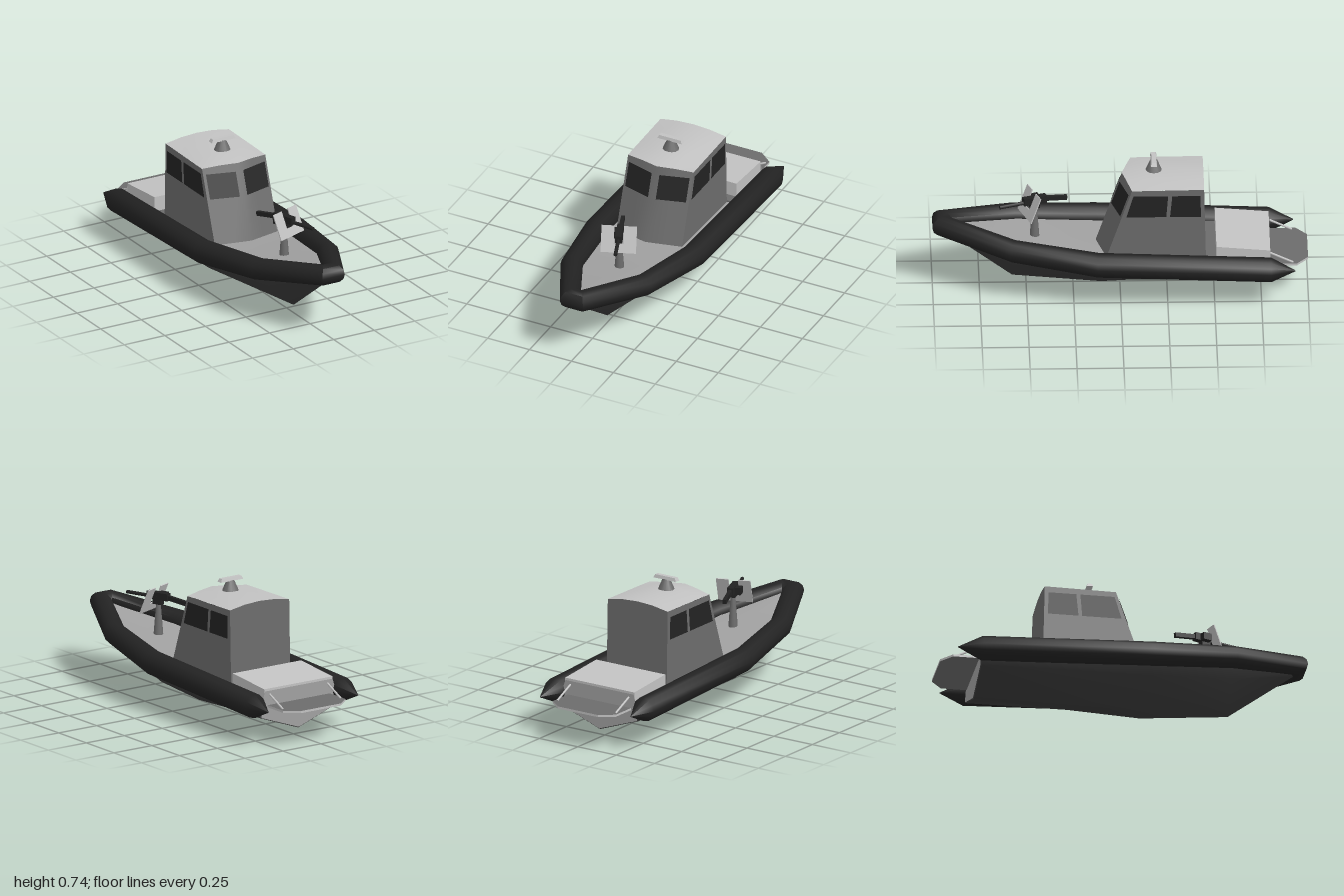
import * as THREE from 'three';
import { toCreasedNormals } from 'three/addons/utils/BufferGeometryUtils.js';

const paint = (name, color, extra = {}) => {
  const m = new THREE.MeshStandardMaterial({ color, ...extra });
  m.name = name;
  return m;
};

export function createModel() {
  const boat = new THREE.Group();
  boat.name = 'patrolBoat';

  const black = paint('tubeBlack', 0x222222);
  const hullGrey = paint('hullGrey', 0x3a3a3a);
  const cabinGrey = paint('cabinGrey', 0x6c6c6c);
  const lightGrey = paint('lightGrey', 0xc2c2c2);
  const deckGrey = paint('deckGrey', 0xa0a0a0, { side: THREE.DoubleSide });
  const glass = paint('darkGlass', 0x232323, { side: THREE.DoubleSide });

  const add = (name, geo, mat, parent = boat, pos = [0, 0, 0]) => {
    const mesh = new THREE.Mesh(geo, mat);
    mesh.name = name;
    mesh.position.set(...pos);
    parent.add(mesh);
    return mesh;
  };

  // Skin through rows of points; closed rows form a ring, optionally capped
  const loft = (rows, { closed = true, caps = false, crease = 0.6 } = {}) => {
    const n = rows[0].length, idx = [];
    for (let r = 0; r < rows.length - 1; r++) {
      for (let i = 0; i < (closed ? n : n - 1); i++) {
        const a = r * n + i, b = r * n + (i + 1) % n;
        idx.push(a, b, b + n, a, b + n, a + n);
      }
    }
    if (caps) {
      const e = (rows.length - 1) * n;
      for (let i = 1; i < n - 1; i++) idx.push(0, i + 1, i, e, e + i, e + i + 1);
    }
    const g = new THREE.BufferGeometry();
    g.setAttribute('position', new THREE.Float32BufferAttribute(rows.flat(2), 3));
    g.setIndex(idx);
    g.computeVertexNormals();
    return toCreasedNormals(g, crease);
  };

  // V hull: z, keel y, chine x/y, top x/y
  const hullSections = [
    [-0.795, 0.05, 0.25, 0.14, 0.265, 0.2],
    [0.1, 0.005, 0.25, 0.145, 0.285, 0.22],
    [0.575, 0.05, 0.16, 0.2, 0.2, 0.28],
    [0.93, 0.315, 0.025, 0.33, 0.03, 0.35],
  ];
  add('hull', loft(hullSections.map(([z, k, cx, cy, tx, ty]) =>
    [[0, k, z], [cx, cy, z], [tx, ty, z], [-tx, ty, z], [-cx, cy, z]]), { caps: true, crease: 0.9 }), hullGrey);

  // Inflated collar: x, y, z, radius, outward direction x/z
  const half = [
    [0.295, 0.21, -0.93, 0.002, 1, 0],
    [0.29, 0.215, -0.8, 0.066, 1, 0],
    [0.29, 0.253, 0.12, 0.066, 1, 0.08],
    [0.215, 0.303, 0.57, 0.06, 0.96, 0.31],
    [0.034, 0.366, 0.945, 0.055, 0.62, 1],
  ];
  const mirrored = half.map(([x, y, z, r, nx, nz]) => [-x, y, z, r, -nx, nz]).reverse();
  const SIDES = 12;
  add('collarTube', loft([...half, ...mirrored].map(([x, y, z, r, nx, nz]) =>
    Array.from({ length: SIDES }, (_, i) => {
      const a = i / SIDES * Math.PI * 2, c = Math.cos(a) * r;
      return [x + nx * c, y + Math.sin(a) * r, z + nz * c];
    })), { caps: true, crease: 0.8 }), black);

  // Deck inside the collar
  const deckRow = ([w, y, z]) => [[-w, y, z], [0, y + 0.004, z], [w, y, z]];
  add('deck', loft([[0.03, 0.366, 0.91], [0.19, 0.305, 0.57], [0.26, 0.253, 0.12], [0.26, 0.23, -0.46]]
    .map(deckRow), { closed: false }), deckGrey);
  add('aftWell', new THREE.BoxGeometry(0.46, 0.03, 0.06), cabinGrey, boat, [0, 0.225, -0.485]);

  // Stern locker with sloping lid
  add('sternLocker', loft([[-0.797, 0.297], [-0.51, 0.322]].map(([z, y]) =>
    [[-0.225, 0.18, z], [0.225, 0.18, z], [0.225, y, z], [-0.225, y, z]]), { caps: true }), lightGrey);

  // Transom plate
  const outline = (pts) => new THREE.Shape(pts.map(p => new THREE.Vector2(...p)));
  add('transom', new THREE.ShapeGeometry(outline(
    [[0, 0.055], [0.245, 0.142], [0.25, 0.2], [0.222, 0.285], [-0.222, 0.285], [-0.25, 0.2], [-0.245, 0.142]])),
  deckGrey, boat, [0, 0, -0.8]);

  // Swim platform with its struts
  const platform = new THREE.ExtrudeGeometry(outline(
    [[-0.205, -0.79], [-0.205, -0.94], [-0.13, -1], [0.13, -1], [0.205, -0.94], [0.205, -0.79]]),
  { depth: 0.012, bevelEnabled: false });
  platform.rotateX(Math.PI / 2);
  add('swimPlatform', platform, [cabinGrey, lightGrey], boat, [0, 0.207, 0]);
  for (const s of [-1, 1]) {
    const path = new THREE.LineCurve3(new THREE.Vector3(s * 0.19, 0.265, -0.797), new THREE.Vector3(s * 0.19, 0.207, -0.92));
    add('platformStrut', new THREE.TubeGeometry(path, 1, 0.006, 6), lightGrey);
  }

  // Cabin walls and crowned roof share the same edge rows
  const W = 0.195, xs = [-1, -0.5, 0, 0.5, 1];
  const row = (yc, ye, zc, ze) => xs.map(u =>
    [u * W, yc + (ye - yc) * u * u, zc + (ze - zc) * Math.abs(u)]);
  const frontTop = row(0.657, 0.645, -0.01, -0.06);
  const rearTop = row(0.672, 0.65, -0.445, -0.445);
  const bottom = [...row(0.24, 0.24, 0.135, 0.08), ...row(0.22, 0.22, -0.455, -0.455).reverse()];
  add('cabin', loft([bottom, [...frontTop, ...[...rearTop].reverse()]]), cabinGrey);
  add('cabinRoof', loft([frontTop, row(0.677, 0.647, -0.14, -0.16), rearTop], { closed: false }), lightGrey);

  // Windows
  const pane = (name, pts) => {
    const g = new THREE.BufferGeometry();
    g.setAttribute('position', new THREE.Float32BufferAttribute(pts.flat(), 3));
    g.setIndex([0, 1, 2, 0, 2, 3]);
    g.computeVertexNormals();
    add(name, g, glass);
  };
  const frontZ = (x, y) => 0.139 - 0.055 * x / W - 0.347 * (y - 0.24);
  for (const s of [1, -1]) {
    const order = pts => (s > 0 ? pts : pts.reverse());
    pane('windscreen', order([[0.023, 0.487], [0.181, 0.487], [0.181, 0.615], [0.023, 0.615]]
      .map(([x, y]) => [s * x, y, frontZ(x, y)])));
    for (const [b0, b1, t0, t1] of [[-0.03, -0.243, -0.068, -0.253], [-0.263, -0.428, -0.275, -0.425]]) {
      pane('sideWindow', order([[s * 0.198, 0.49, b0], [s * 0.198, 0.49, b1],
        [s * 0.198, 0.615, t1], [s * 0.198, 0.615, t0]]));
    }
  }

  // Radar
  add('radarPedestal', new THREE.CylinderGeometry(0.02, 0.048, 0.065, 12), cabinGrey, boat, [0, 0.698, -0.18]);
  add('radarBar', loft([[0.728, 0.073, 0.017], [0.746, 0.064, 0.012]].map(([y, w, d]) =>
    [[-w, y, -0.18 + d], [w, y, -0.18 + d], [w, y, -0.18 - d], [-w, y, -0.18 - d]]), { caps: true }), lightGrey);

  // Deck gun, turned slightly to one side
  const gun = new THREE.Group();
  gun.name = 'deckGun';
  gun.position.set(0.012, 0.5, 0.455);
  gun.rotation.y = 0.36;
  boat.add(gun);
  add('gunPedestal', new THREE.CylinderGeometry(0.012, 0.027, 0.19, 12), cabinGrey, gun, [0, -0.125, 0]);
  add('gunCradle', new THREE.BoxGeometry(0.035, 0.045, 0.05), black, gun, [0, -0.018, 0]);
  add('gunReceiver', new THREE.BoxGeometry(0.034, 0.04, 0.13), black, gun, [0, 0.005, 0]);
  add('gunBarrel', new THREE.CylinderGeometry(0.01, 0.01, 0.16, 10).rotateX(Math.PI / 2), black, gun, [0, -0.003, 0.12]);
  add('gunStock', new THREE.BoxGeometry(0.02, 0.024, 0.15), black, gun, [0, -0.004, -0.11]).rotation.x = -0.14;
  add('ammoBox', new THREE.BoxGeometry(0.04, 0.04, 0.05), black, gun, [-0.03, 0, -0.01]);

  // Notched gun shield, leaning back
  const shield = add('gunShield', new THREE.ExtrudeGeometry(outline(
    [[-0.095, -0.09], [0.095, -0.09], [0.095, 0.056], [0.026, 0.056], [0.026, -0.042],
      [-0.026, -0.042], [-0.026, 0.056], [-0.095, 0.056]]),
  { depth: 0.006, bevelEnabled: false }), lightGrey, gun, [0, 0, 0.02]);
  shield.rotation.x = -0.39;

  return boat;
}
